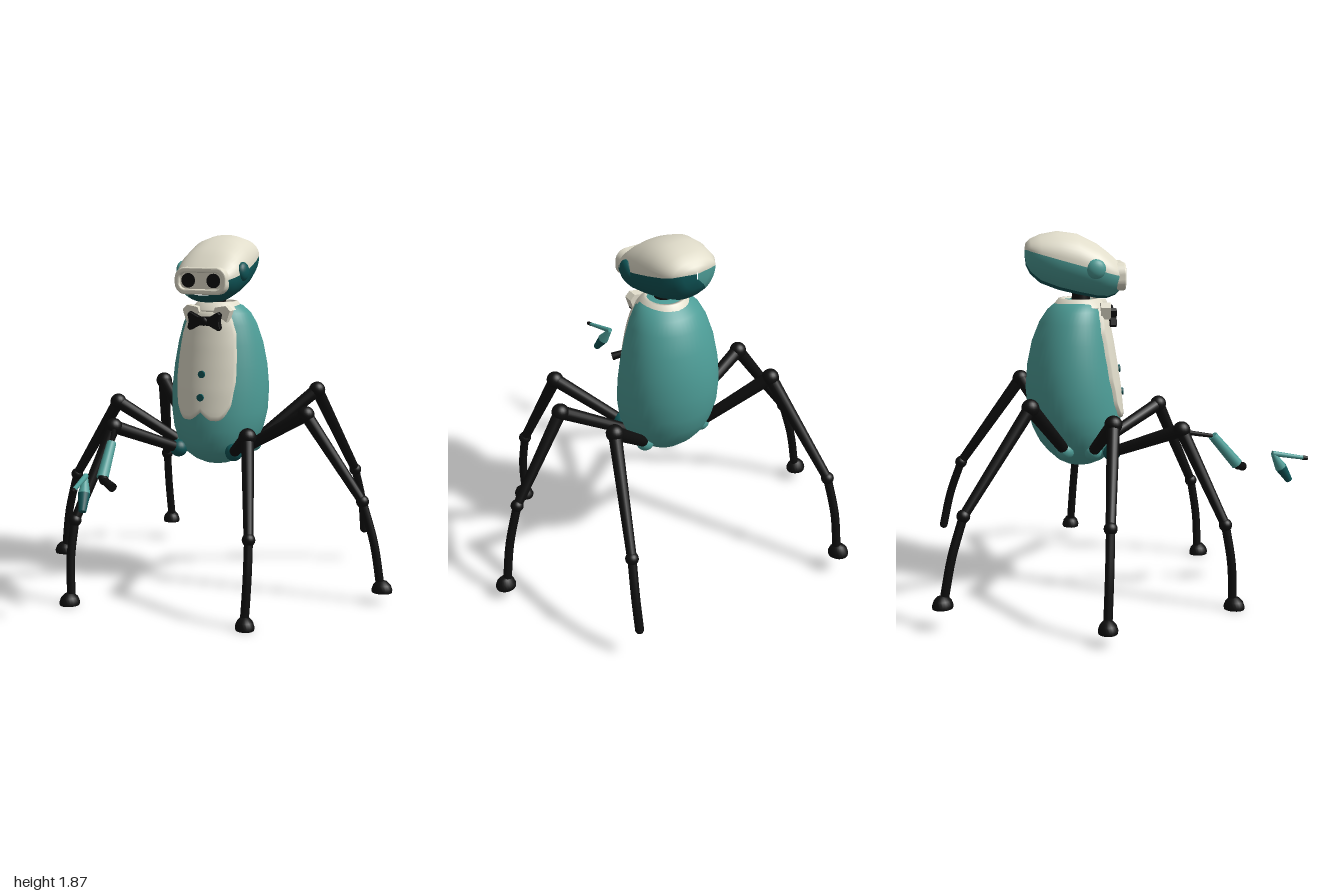
import * as THREE from 'three';
import { mergeVertices } from 'three/addons/utils/BufferGeometryUtils.js';

const V = (x, y, z) => new THREE.Vector3(x, y, z);
const paint = (name, color) => Object.assign(new THREE.MeshStandardMaterial({ color }), { name });

// Smooth skin over rows of points
function skin(rows) {
  const n = rows[0].length, idx = [];
  for (let i = 0; i < rows.length - 1; i++) for (let j = 0; j < n - 1; j++) {
    const a = i * n + j, b = a + 1, d = a + n, c = d + 1;
    idx.push(a, b, c, a, c, d);
  }
  let g = new THREE.BufferGeometry().setFromPoints(rows.flat());
  g.setIndex(idx);
  g = mergeVertices(g, 1e-5);
  g.computeVertexNormals();
  return g;
}

// Linear lookup in a table whose first column ascends
function lookup(table, t) {
  let i = 0;
  while (i < table.length - 2 && t > table[i + 1][0]) i++;
  const p = table[i], q = table[i + 1];
  const k = THREE.MathUtils.clamp((t - p[0]) / (q[0] - p[0]), 0, 1);
  return p.map((v, m) => v + (q[m] - v) * k);
}

// Body sections: y, half width, front z, back z
const BODY = [
  [0.67, 0.002, -0.2, -0.204], [0.678, 0.07, -0.12, -0.26], [0.7, 0.12, -0.07, -0.305],
  [0.75, 0.185, -0.01, -0.36], [0.8, 0.215, 0.01, -0.4], [0.87, 0.243, 0.022, -0.435],
  [0.96, 0.26, 0.022, -0.46], [1.08, 0.263, 0.01, -0.47], [1.2, 0.252, -0.008, -0.46],
  [1.32, 0.23, -0.028, -0.435], [1.42, 0.2, -0.048, -0.395], [1.48, 0.17, -0.065, -0.355],
  [1.515, 0.135, -0.085, -0.315], [1.53, 0.1, -0.11, -0.28], [1.535, 0.002, -0.19, -0.194],
];
function bodyFront(x, y) {
  const [, w, f, b] = lookup(BODY, y);
  return (f + b) / 2 + (f - b) / 2 * Math.sqrt(Math.max(0, 1 - (x / w) ** 2));
}

// Head sections from back to front: z, half width, bottom y, top y
const HEAD = [
  [-0.467, 0.003, 1.755, 1.797], [-0.46, 0.075, 1.705, 1.822], [-0.44, 0.12, 1.665, 1.842],
  [-0.39, 0.152, 1.62, 1.866], [-0.3, 0.172, 1.585, 1.882], [-0.2, 0.183, 1.56, 1.868],
  [-0.1, 0.183, 1.54, 1.818], [-0.05, 0.172, 1.54, 1.78], [-0.01, 0.155, 1.555, 1.745], [0.015, 0.135, 1.58, 1.72],
];
function headShell(a0, a1) {
  const rows = HEAD.map(([z, w, lo, hi]) => {
    const mid = Math.min(hi - 0.01, 1.68 - 0.28 * (z + 0.06)), row = [];
    for (let k = 0; k <= 24; k++) {
      const a = THREE.MathUtils.degToRad(a0 + (a1 - a0) * k / 24), c = Math.cos(a), s = Math.sin(a);
      row.push(V(w * Math.sign(c) * Math.abs(c) ** 0.85, mid + (s > 0 ? hi - mid : mid - lo) * s, z));
    }
    return row;
  });
  return skin(rows);
}

function roundRect(w, h, r, Type = THREE.Shape) {
  const s = new Type();
  s.absarc(w - r, h - r, r, 0, Math.PI / 2);
  s.absarc(-w + r, h - r, r, Math.PI / 2, Math.PI);
  s.absarc(-w + r, -h + r, r, Math.PI, Math.PI * 1.5);
  s.absarc(w - r, -h + r, r, Math.PI * 1.5, Math.PI * 2);
  s.closePath();
  return s;
}

export function createModel() {
  const cream = paint('cream', 0xe0dcca), teal = paint('teal', 0x4d9d97);
  const dark = paint('dark teal', 0x0f5557), black = paint('black', 0x0e0e0e);
  const root = new THREE.Group();
  const add = (name, geo, mat, pos = [0, 0, 0], parent = root) => {
    const m = new THREE.Mesh(geo, mat);
    m.name = name;
    m.position.set(...pos);
    parent.add(m);
    return m;
  };
  const ball = (name, p, r, mat, parent, scale = [1, 1, 1]) =>
    add(name, new THREE.SphereGeometry(r, 20, 14), mat, p, parent).scale.set(...scale);
  const rod = (name, a, b, ra, rb, mat, parent) => {
    const p = V(...a), q = V(...b), d = q.clone().sub(p);
    const m = add(name, new THREE.CylinderGeometry(rb, ra, d.length(), 16), mat, p.clone().add(q).multiplyScalar(0.5).toArray(), parent);
    m.quaternion.setFromUnitVectors(V(0, 1, 0), d.normalize());
    return m;
  };

  // Egg-shaped body
  add('body', skin(BODY.map(([y, w, f, b]) => Array.from({ length: 49 }, (_, k) => {
    const a = Math.PI + k / 48 * Math.PI * 2;
    return V(w * Math.sin(a), y, (f + b) / 2 + (f - b) / 2 * Math.cos(a));
  }))), teal);

  // Shirt front following the body, with two lobes at its hem
  const shirtWidth = [[0, 0.15], [0.25, 0.166], [0.5, 0.162], [0.75, 0.15], [0.9, 0.125], [1, 0.1]];
  const shirt = [];
  for (let i = -1; i <= 25; i++) {
    const row = [], v = THREE.MathUtils.clamp(i / 24, 0, 1);
    for (let j = -1; j <= 33; j++) {
      const u = THREE.MathUtils.clamp(j / 16 - 1, -1, 1);
      const hem = 0.93 + 0.045 * Math.max(0, 1 - Math.abs(u) / 0.4) ** 1.3 + 0.08 * Math.max(0, (Math.abs(u) - 0.6) / 0.4) ** 2;
      const x = u * lookup(shirtWidth, v)[1], y = hem + (1.5 - hem) * v;
      const rim = i < 0 || i > 24 || j < 0 || j > 32;
      row.push(V(x, y, bodyFront(x, y) + (rim ? -0.02 : 0.016)));
    }
    shirt.push(row);
  }
  add('shirtFront', skin(shirt), cream);
  for (const y of [1.05, 1.17]) {
    add('button', new THREE.CylinderGeometry(0.019, 0.019, 0.012, 16).rotateX(Math.PI / 2), dark, [0, y, bodyFront(0, y) + 0.02]);
  }

  // Collar, neck and bow tie
  const collar = new THREE.LatheGeometry([[0.1, 1.5], [0.135, 1.49], [0.138, 1.5], [0.105, 1.54], [0.09, 1.54], [0.085, 1.5]]
    .map(p => new THREE.Vector2(...p)), 32);
  add('collar', collar, cream, [0, 0, -0.19]);
  for (const s of [-1, 1]) {
    const wing = new THREE.Shape([[0.04, 1.49], [0.115, 1.44], [0.135, 1.5], [0.11, 1.525], [0.05, 1.515]].map(([x, y]) => new THREE.Vector2(s * x, y)));
    add('collarWing', new THREE.ExtrudeGeometry(wing, { depth: 0.05, bevelEnabled: false }), cream, [0, 0, -0.09]);
    const bow = new THREE.Shape([[0, 1.425], [0.03, 1.425], [0.08, 1.4], [0.09, 1.41], [0.082, 1.445], [0.09, 1.48], [0.08, 1.49], [0.03, 1.465], [0, 1.465]]
      .map(([x, y]) => new THREE.Vector2(s * x, y)));
    add('bowWing', new THREE.ExtrudeGeometry(bow, { depth: 0.025, bevelSize: 0.003, bevelThickness: 0.005, bevelSegments: 2 }), black, [0, 0, -0.035]);
  }
  ball('bowKnot', [0, 1.445, -0.012], 0.024, black, root, [1, 1, 0.7]);
  add('neck', new THREE.CylinderGeometry(0.045, 0.05, 0.12, 24), black, [0, 1.54, -0.18]);

  // Head: cream crown over a two-tone lower shell
  const head = new THREE.Group();
  head.name = 'head';
  root.add(head);
  add('crown', headShell(0, 180), cream, [0, 0, 0], head);
  add('rightCheek', headShell(180, 240), teal, [0, 0, 0], head);
  add('leftCheek', headShell(240, 360), dark, [0, 0, 0], head);
  ball('rightEar', [-0.172, 1.7, -0.12], 0.05, teal, head, [0.6, 1, 1]);
  ball('leftEar', [0.172, 1.7, -0.12], 0.05, dark, head, [0.6, 1, 1]);

  // Face frame, face plate and eyes
  const frame = roundRect(0.138, 0.062, 0.05);
  frame.holes.push(roundRect(0.127, 0.05, 0.042, THREE.Path));
  add('faceFrame', new THREE.ExtrudeGeometry(frame, { depth: 0.055, bevelSize: 0.008, bevelThickness: 0.008, bevelSegments: 3, curveSegments: 10 }),
    cream, [0, 1.655, -0.025], head);
  add('facePlate', new THREE.ShapeGeometry(roundRect(0.132, 0.056, 0.046), 10), cream, [0, 1.655, 0.021], head);
  for (const s of [-1, 1]) {
    add('eye', new THREE.CylinderGeometry(0.037, 0.037, 0.008, 24).rotateX(Math.PI / 2), black, [s * 0.071, 1.657, 0.026], head);
  }

  // Six legs: hip, knee, ankle and foot positions
  const legs = [
    ['rightFrontLeg', [-0.16, 0.76, -0.04], [-0.375, 0.91, 0.285], [-0.495, 0.445, 0.49], [-0.5, 0.05, 0.53], true],
    ['leftFrontLeg', [0.16, 0.76, -0.04], [0.375, 0.91, 0.285], [0.47, 0.445, 0.49], [0.467, 0.05, 0.53], true],
    ['rightMiddleLeg', [-0.18, 0.77, -0.14], [-0.545, 0.98, -0.08], [-0.84, 0.543, -0.13], [-0.935, 0.11, -0.155], true],
    ['leftMiddleLeg', [0.18, 0.77, -0.14], [0.545, 0.98, -0.08], [0.84, 0.543, -0.13], [0.935, 0.11, -0.155], true],
    ['rightBackLeg', [-0.17, 0.775, -0.28], [-0.462, 1.055, -0.475], [-0.61, 0.565, -0.81], [-0.63, 0.16, -0.91], true],
    ['leftBackLeg', [0.17, 0.775, -0.28], [0.462, 1.055, -0.47], [0.576, 0.565, -0.805], [0.6, 0.2, -0.91], false],
  ];
  for (const [name, hip, knee, ankle, end, hasFoot] of legs) {
    const leg = new THREE.Group();
    leg.name = name;
    root.add(leg);
    ball('hipSocket', hip, 0.046, name.includes('Front') ? dark : teal, leg);
    rod('thigh', hip, knee, 0.028, 0.035, black, leg);
    ball('knee', knee, 0.044, black, leg);
    rod('shin', knee, ankle, 0.033, 0.024, black, leg);
    ball('ankle', ankle, 0.033, black, leg);
    const out = V(end[0], 0, end[2] + 0.15).normalize();
    const mid = V(...ankle).add(V(...end)).multiplyScalar(0.5).addScaledVector(out, 0.014);
    add('lowerLeg', new THREE.TubeGeometry(new THREE.CatmullRomCurve3([V(...ankle), mid, V(...end)]), 10, 0.022, 12), black, [0, 0, 0], leg);
    if (!hasFoot) {
      ball('legTip', end, 0.022, black, leg);
      continue;
    }
    // Domed foot, longer in the outward direction
    const foot = new THREE.LatheGeometry([[0, 0], [0.046, 0], [0.048, 0.015], [0.04, 0.04], [0.024, 0.058], [0, 0.064]]
      .map(p => new THREE.Vector2(...p)), 20);
    const f = add('foot', foot, black, [end[0] + out.x * 0.01, end[1] - 0.04, end[2] + out.z * 0.01], leg);
    f.scale.z = 1.13;
    f.rotation.y = Math.atan2(out.x, out.z);
  }

  // Slender arm from the right front knee, with a separate pincer hand
  const arm = new THREE.Group();
  arm.name = 'rightArm';
  root.add(arm);
  rod('upperArm', [-0.37, 0.9, 0.29], [-0.295, 0.86, 0.455], 0.013, 0.01, black, arm);
  rod('forearm', [-0.293, 0.86, 0.46], [-0.275, 0.705, 0.592], 0.024, 0.03, teal, arm);
  rod('wrist', [-0.275, 0.71, 0.588], [-0.255, 0.692, 0.607], 0.024, 0.024, black, arm);
  rod('wristLink', [-0.27, 0.7, 0.598], [-0.19, 0.672, 0.64], 0.018, 0.023, black, arm);
  rod('upperFinger', [-0.26, 0.752, 0.78], [-0.23, 0.718, 0.95], 0.014, 0.01, teal, arm);
  rod('fingerTip', [-0.23, 0.718, 0.95], [-0.225, 0.714, 0.975], 0.012, 0.01, black, arm);
  rod('lowerFinger', [-0.26, 0.748, 0.785], [-0.243, 0.675, 0.83], 0.012, 0.03, teal, arm);
  rod('lowerFingerEnd', [-0.243, 0.675, 0.83], [-0.225, 0.6, 0.88], 0.03, 0.018, dark, arm);
  return root;
}
